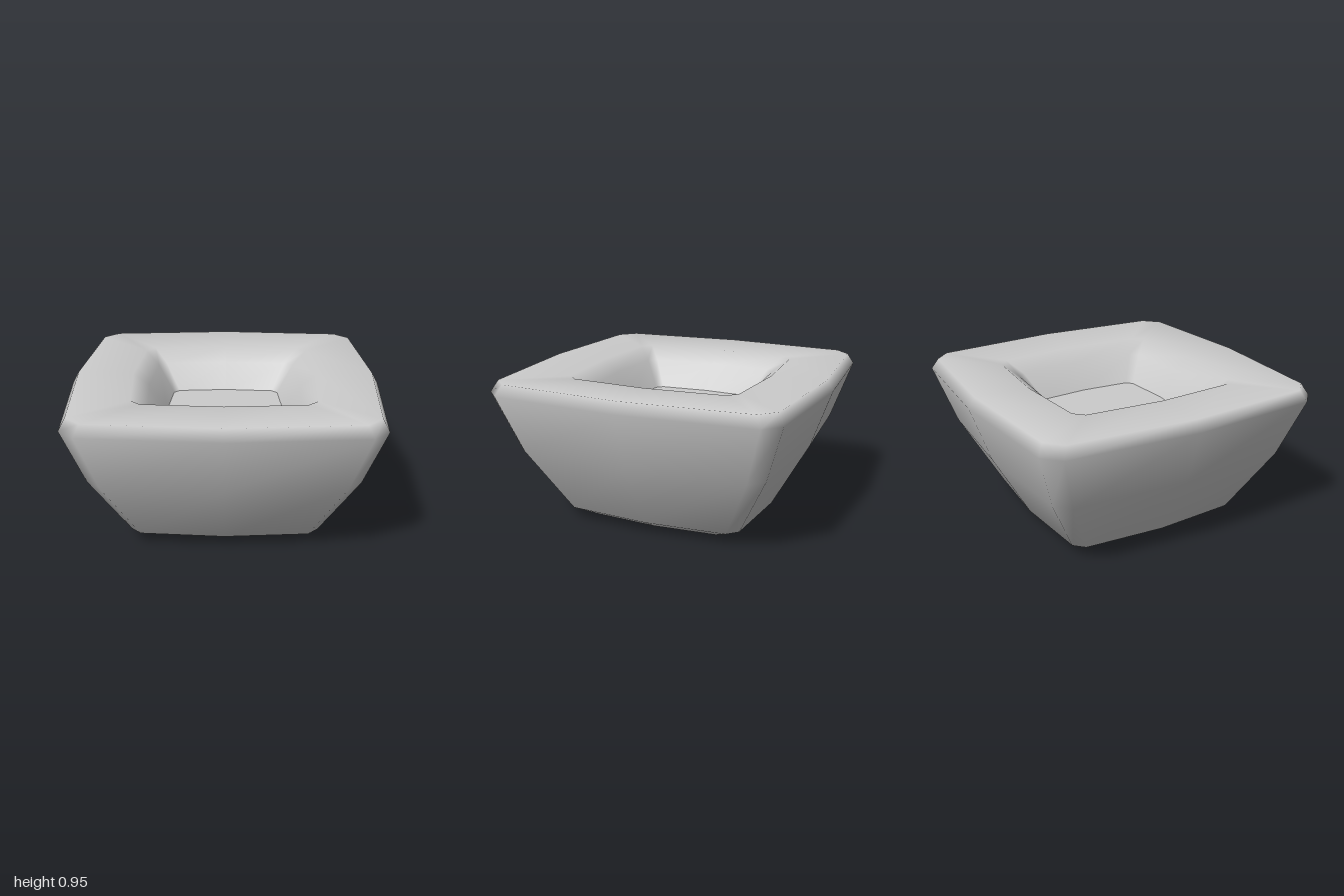
import * as THREE from 'three';

const GREY = () => new THREE.MeshStandardMaterial({ color: 0xcccccc });

// Rounded-square outline with chamfered corners and slightly bowed sides
function outline(r) {
  const pts = [];
  for (let k = 0; k < 4; k++) {
    const c = Math.round(Math.cos(k * Math.PI / 2)), s = Math.round(Math.sin(k * Math.PI / 2));
    for (const [x, z] of [[1, 0], [0.94, 0.84], [0.84, 0.94]]) {
      pts.push([r * (x * c - z * s), r * (x * s + z * c)]);
    }
  }
  return pts;
}

// Join outlines of [radius, height] into one smooth skin; radius 0 closes it
function loft(profile) {
  const positions = [], index = [], n = 12;
  for (const [r, y] of profile) {
    for (const [x, z] of outline(r)) positions.push(x, y, z);
  }
  for (let i = 0; i < profile.length - 1; i++) {
    for (let j = 0; j < n; j++) {
      const a = i * n + j, b = i * n + (j + 1) % n, c = a + n, d = b + n;
      if (profile[i][0] > 0) index.push(a, c, b);
      if (profile[i + 1][0] > 0) index.push(b, c, d);
    }
  }
  const geometry = new THREE.BufferGeometry();
  geometry.setAttribute('position', new THREE.Float32BufferAttribute(positions, 3));
  geometry.setIndex(index);
  geometry.computeVertexNormals();
  return geometry;
}

export function createModel() {
  const group = new THREE.Group();
  group.name = 'squareBowl';

  // Bowl: underside, flared wall, thick flat rim, sloping inner wall
  const bowl = new THREE.Mesh(loft([
    [0, 0], [0.49, 0], [0.63, 0.08], [0.87, 0.51], [1, 0.88],
    [0.96, 0.95], [0.6, 0.94], [0.5, 0.86], [0.385, 0.69], [0.34, 0.6],
  ]), GREY());
  bowl.material.side = THREE.DoubleSide;
  bowl.name = 'bowl';
  group.add(bowl);

  // Flat surface of the contents
  const shape = new THREE.Shape(outline(0.387).map(([x, z]) => new THREE.Vector2(x, -z)));
  const contents = new THREE.Mesh(new THREE.ShapeGeometry(shape).rotateX(-Math.PI / 2), GREY());
  contents.position.y = 0.69;
  contents.name = 'contents';
  group.add(contents);

  return group;
}
